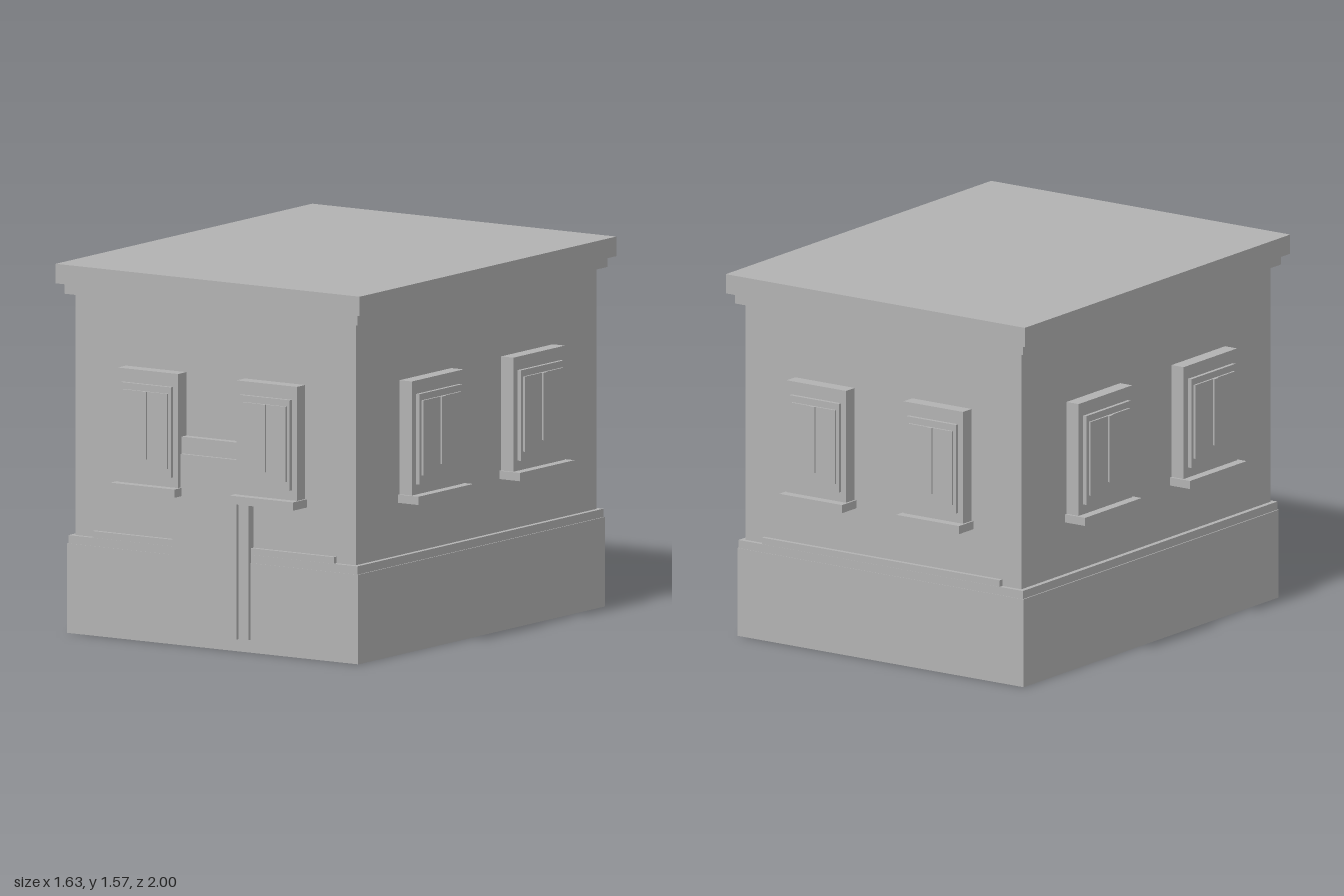
import * as THREE from 'three';

const stone = new THREE.MeshStandardMaterial({ color: 0xb2b2b2 });
stone.name = 'grey stone';

// Box given by its minimum and maximum corners
function block(parent, name, [x0, y0, z0], [x1, y1, z1]) {
  const mesh = new THREE.Mesh(new THREE.BoxGeometry(x1 - x0, y1 - y0, z1 - z0), stone);
  mesh.position.set((x0 + x1) / 2, (y0 + y1) / 2, (z0 + z1) / 2);
  mesh.name = name;
  parent.add(mesh);
}

// Block centred on x and z
const layer = (parent, name, hx, hz, y0, y1) =>
  block(parent, name, [-hx, y0, -hz], [hx, y1, hz]);

// Window facing +z, its wall plane at z = 0; w stretches the width
function makeWindow(name, w) {
  const g = new THREE.Group();
  g.name = name;
  const parts = [
    // name, half width, bottom, top, depth
    ['windowFrame', 0.153, 0.673, 1.157, 0.062],
    ['windowSash', 0.127, 0.716, 1.10, 0.078],
    ['windowPane', 0.113, 0.753, 1.072, 0.087],
    ['windowMullion', 0.0125, 0.786, 1.072, 0.094],
    ['windowSill', 0.162, 0.638, 0.673, 0.103],
  ];
  for (const [part, h, y0, y1, d] of parts)
    block(g, part, [-h * w, y0, -0.02], [h * w, y1, d]);
  return g;
}

export function createModel() {
  const house = new THREE.Group();
  house.name = 'house';

  // Plinth, walls and stepped roof
  layer(house, 'plinth', 0.737, 0.919, 0, 0.38);
  layer(house, 'plinthCap', 0.732, 0.917, 0.38, 0.415);
  layer(house, 'walls', 0.71, 0.897, 0.415, 1.44);
  layer(house, 'cornice', 0.742, 0.93, 1.44, 1.485);
  layer(house, 'roofSlab', 0.77, 0.956, 1.485, 1.568);

  // Low ledge along the front and the back
  layer(house, 'ledge', 0.612, 0.916, 0.415, 0.443);

  // Door with its surround
  block(house, 'doorFrame', [-0.195, 0.055, 0.88], [0.192, 0.888, 0.933]);
  block(house, 'doorPanel', [-0.143, 0.055, 0.9], [0.141, 0.817, 0.948]);

  // Two windows on each wall; those on the long sides are wider
  for (const s of [-1, 1]) {
    for (const t of [-1, 1]) {
      const endWindow = makeWindow(s > 0 ? 'frontWindow' : 'backWindow', 1);
      endWindow.position.set(t * 0.301, 0, s * 0.897);
      endWindow.rotation.y = s > 0 ? 0 : Math.PI;
      const sideWindow = makeWindow(s > 0 ? 'leftWindow' : 'rightWindow', 1.26);
      sideWindow.position.set(s * 0.71, 0, t * 0.378);
      sideWindow.rotation.y = s * Math.PI / 2;
      house.add(endWindow, sideWindow);
    }
  }
  return house;
}
